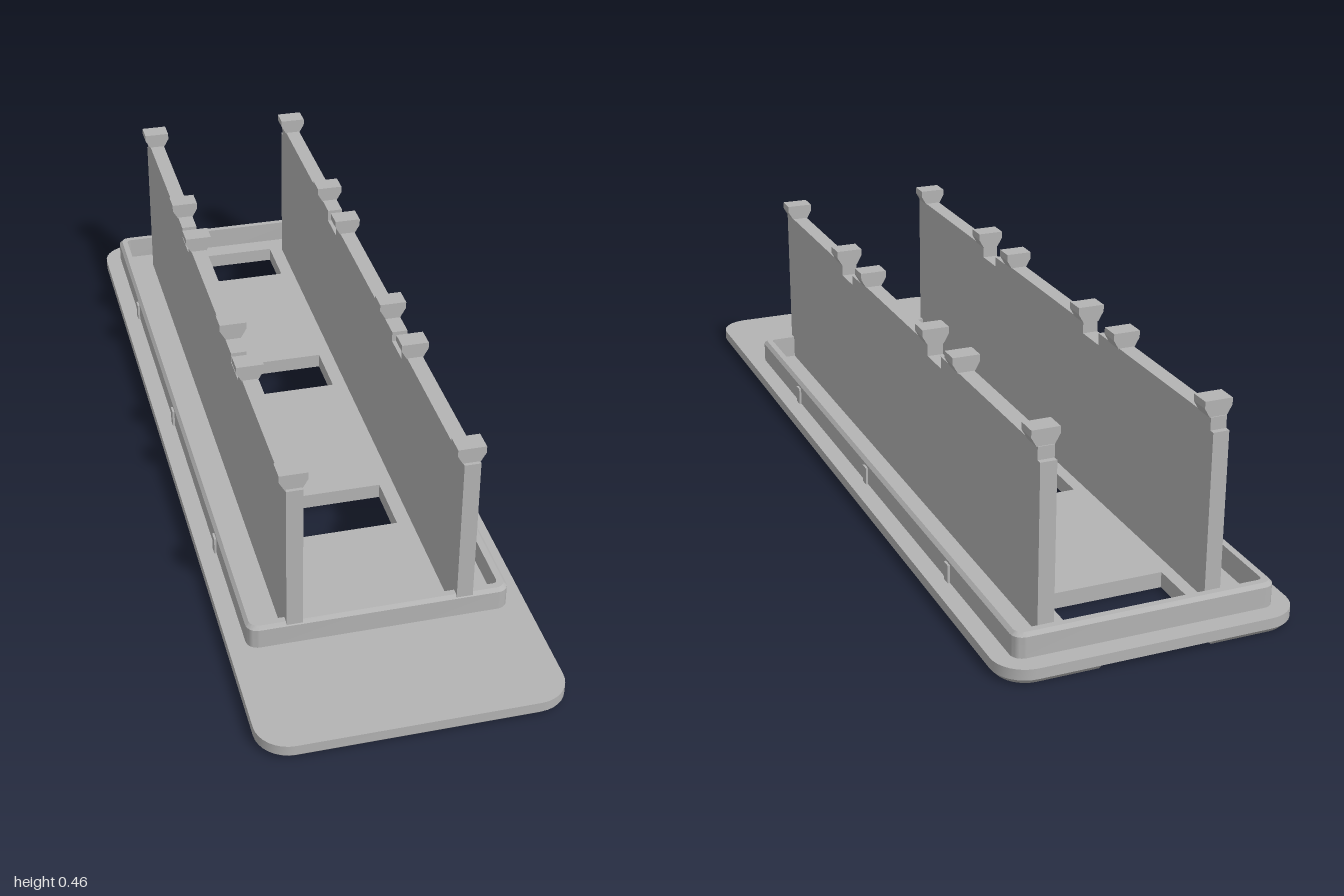
import * as THREE from 'three';
import { toCreasedNormals } from 'three/addons/utils/BufferGeometryUtils.js';

const grey = new THREE.MeshStandardMaterial({ color: 0xb3b3b3 });
grey.name = 'grey plastic';

// Counter-clockwise rounded outline in (x, -z); notchY cuts a slot into the back edge
function outline(x0, x1, y0, y1, r, notchY) {
  const pts = [];
  const corner = (cx, cy, start) => {
    const n = r > 0 ? 8 : 0;
    for (let i = 0; i <= n; i++) {
      const a = start + (n ? (i / n) * Math.PI / 2 : 0);
      pts.push(new THREE.Vector2(cx + r * Math.cos(a), cy + r * Math.sin(a)));
    }
  };
  corner(x1 - r, y0 + r, -Math.PI / 2);
  corner(x1 - r, y1 - r, 0);
  if (notchY !== undefined) {
    for (const [x, y] of [[0.12, y1], [0.12, notchY], [-0.12, notchY], [-0.12, y1]]) {
      pts.push(new THREE.Vector2(x, y));
    }
  }
  corner(x0 + r, y1 - r, Math.PI / 2);
  corner(x0 + r, y0 + r, Math.PI);
  return pts;
}

// Skin a list of [outline, height] rings
function loft(rings) {
  const pos = [];
  const tri = (a, b, c) => {
    const area = b.clone().sub(a).cross(c.clone().sub(a)).length();
    if (area > 1e-9) for (const p of [a, b, c]) pos.push(p.x, p.y, p.z);
  };
  for (let k = 0; k + 1 < rings.length; k++) {
    const [lo, hi] = [rings[k], rings[k + 1]].map(([o, y]) => o.map(p => new THREE.Vector3(p.x, y, -p.y)));
    for (let i = 0; i < lo.length; i++) {
      const j = (i + 1) % lo.length;
      tri(lo[i], lo[j], hi[j]);
      tri(lo[i], hi[j], hi[i]);
    }
  }
  const g = new THREE.BufferGeometry();
  g.setAttribute('position', new THREE.Float32BufferAttribute(pos, 3));
  g.computeVertexNormals();
  return toCreasedNormals(g, 0.5);
}

// Flat face with holes, facing up or down
function cap(pts, holes, y, up) {
  const shape = new THREE.Shape(pts);
  holes.forEach(h => shape.holes.push(new THREE.Path(h)));
  const g = new THREE.ShapeGeometry(shape);
  if (!up) {
    const ix = g.index;
    for (let i = 0; i < ix.count; i += 3) {
      const a = ix.getX(i);
      ix.setX(i, ix.getX(i + 1));
      ix.setX(i + 1, a);
    }
  }
  g.rotateX(-Math.PI / 2).translate(0, y, 0);
  g.computeVertexNormals();
  return g;
}

export function createModel() {
  const model = new THREE.Group();
  const add = (geometry, name, parent = model) => {
    const m = new THREE.Mesh(geometry, grey);
    m.name = name;
    parent.add(m);
    return m;
  };

  // Base plate with chamfered underside, back finger notch and three windows
  const top = 0.035, ch = 0.012;
  const windows = [[-0.89, -0.75], [-0.33, -0.19], [0.235, 0.38]]
    .map(([z0, z1]) => outline(-0.137, 0.132, -z1, -z0, 0));
  const foot = outline(-0.309, 0.309, -0.989, 0.989, 0.06, 0.972);
  const notched = outline(-0.32, 0.32, -1, 1, 0.07, 0.972);
  const full = outline(-0.32, 0.32, -1, 1, 0.07, 1);
  const plate = new THREE.Group();
  plate.name = 'basePlate';
  model.add(plate);
  add(loft([[foot, 0], [notched, ch], [full, ch], [full, top]]), 'plateEdge', plate);
  add(cap(foot, windows, 0, false), 'plateUnderside', plate);
  add(cap(outline(-0.32, 0.32, -1, 1, 0.07), windows, top, true), 'plateTop', plate);
  windows.forEach(w => add(loft([[w, top], [w, 0]]), 'windowEdge', plate));

  // Raised rim with a chamfered top edge
  const rim = d => outline(-0.281 + d, 0.281 - d, -0.71 + d, 0.958 - d, 0.025 - d * 0.7);
  add(loft([[rim(0), top], [rim(0), 0.08], [rim(0.007), 0.088], [rim(0.021), 0.088], [rim(0.021), top]]), 'rim');

  // Side panel silhouette in (-z, y), with notches in the top edge
  const profile = [
    [-0.708, top], [0.88, top], [0.88, 0.395], [0.868, 0.395], [0.868, 0.422],
    [0.376, 0.422], [0.376, 0.395], [0.3, 0.395], [0.3, 0.422],
    [-0.135, 0.422], [-0.135, 0.418], [-0.192, 0.418], [-0.192, 0.395],
    [-0.265, 0.395], [-0.265, 0.422], [-0.708, 0.422],
  ].map(([x, y]) => new THREE.Vector2(x, y));
  // Flared clip head in (x, y)
  const clip = [[-0.018, 0.42], [0.018, 0.42], [0.03, 0.441], [0.03, 0.456], [-0.03, 0.456], [-0.03, 0.441]]
    .map(([x, y]) => new THREE.Vector2(x, y));

  for (const side of [-1, 1]) {
    const name = side > 0 ? 'left' : 'right';
    const panel = new THREE.ExtrudeGeometry(new THREE.Shape(profile), { depth: 0.035, bevelEnabled: false });
    panel.translate(0, 0, -0.0175).rotateY(Math.PI / 2);
    add(panel, name + 'Panel').position.x = side * 0.182;

    for (const z of [0.678, 0.285, 0.113, -0.28, -0.452, -0.843]) {
      const head = new THREE.ExtrudeGeometry(new THREE.Shape(clip), { depth: 0.045, bevelEnabled: false });
      add(head, name + 'Clip').position.set(side * 0.182, 0, z - 0.0225);
    }

    // Small snap ribs on the outside of the rim
    for (const z of [-0.62, -0.12, 0.38]) {
      const rib = add(new THREE.BoxGeometry(0.01, 0.04, 0.022), name + 'SnapRib');
      rib.position.set(side * 0.281, top + 0.02, z);
    }
  }
  return model;
}
